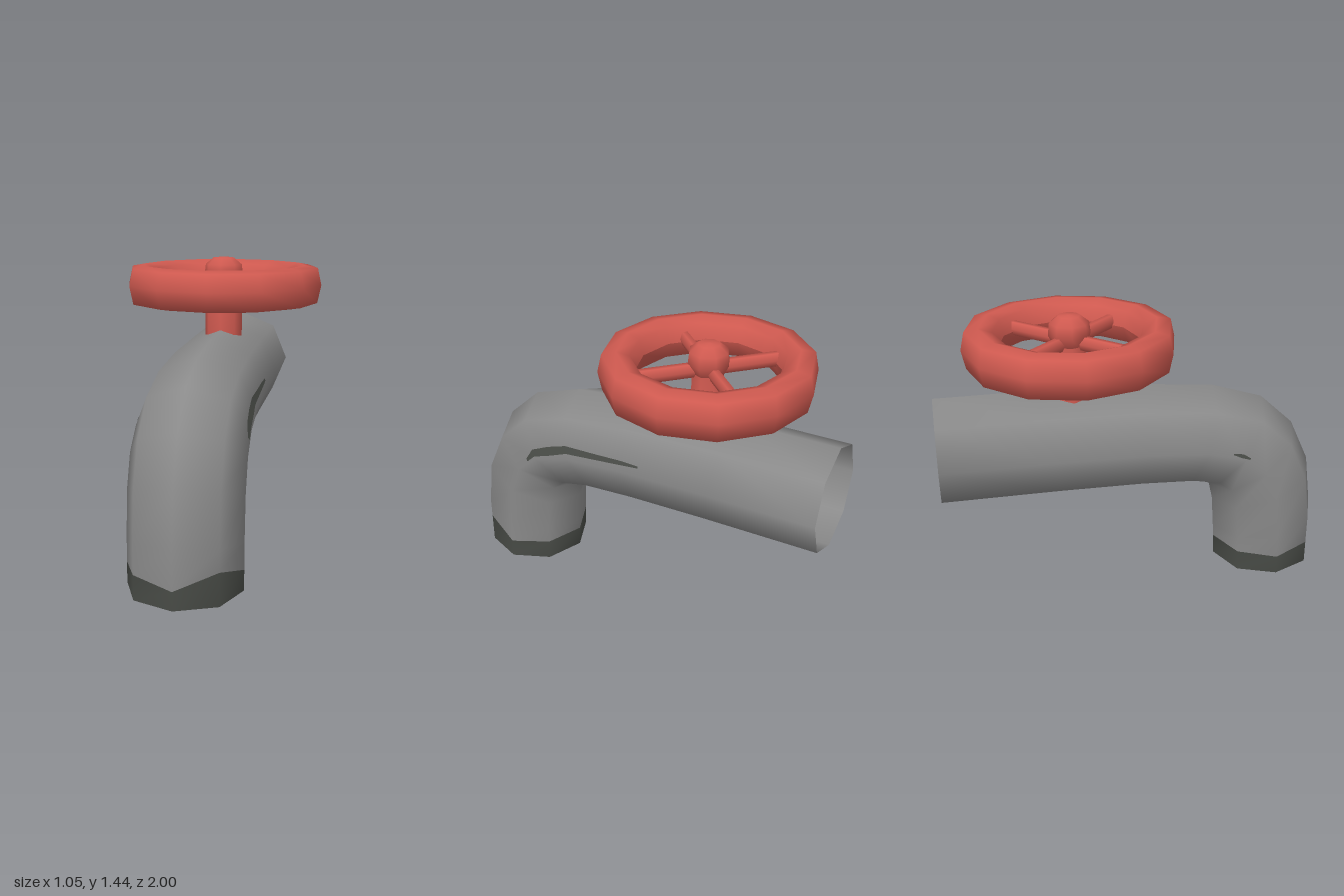
import * as THREE from 'three';

const SIDES = 8, R = 0.275, WHEEL_Z = -0.32;

// Pipe stations, back end to spout mouth: [outer z, outer y, inner z, inner y]
const STATIONS = [
  [-1, 1.06, -1, 0.51], [-0.5, 1.06, -0.4, 0.51], [0.03, 1.05, 0, 0.505],
  [0.41, 1.015, 0.25, 0.495], [0.68, 0.93, 0.37, 0.475], [0.86, 0.765, 0.415, 0.44],
  [0.965, 0.54, 0.435, 0.35], [1, 0.28, 0.447, 0.18], [1, 0, 0.455, 0],
];

// Corner i of the octagonal section at station s
function corner(s, i, scale = 1) {
  const [zo, yo, zi, yi] = STATIONS[s];
  const a = (i / SIDES) * Math.PI * 2, c = Math.cos(a) * scale, k = Math.sin(a) * scale / 2;
  return new THREE.Vector3(R * c, (yo + yi) / 2 + (yo - yi) * k, (zo + zi) / 2 + (zo - zi) * k);
}
const ring = (fn) => Array.from({ length: SIDES }, (_, i) => fn(i));

// Skin a list of rows of points
function loft(rows, closed = true) {
  const n = rows[0].length, index = [];
  for (let j = 0; j < rows.length - 1; j++) {
    for (let i = 0; i < (closed ? n : n - 1); i++) {
      const k = (i + 1) % n, a = j * n + i, b = j * n + k, c = b + n, d = a + n;
      index.push(a, b, c, a, c, d);
    }
  }
  const g = new THREE.BufferGeometry().setFromPoints(rows.flat());
  g.setIndex(index);
  g.computeVertexNormals();
  return g;
}

// Point on the side facet: s runs along the pipe, u from the side ridge upwards
function onSide(s, u, sign) {
  const j = Math.floor(s), f = s - j;
  const p = corner(j, 0, 1.015).lerp(corner(j, 1, 1.015), u);
  p.lerp(corner(j + 1, 0, 1.015).lerp(corner(j + 1, 1, 1.015), u), f);
  p.x *= sign;
  return p;
}

export function createModel() {
  const grey = new THREE.MeshStandardMaterial({ color: 0x8a8a8a, side: THREE.DoubleSide });
  grey.name = 'pipe grey';
  const dark = new THREE.MeshStandardMaterial({ color: 0x484b46, side: THREE.DoubleSide });
  dark.name = 'dark grey';
  const red = new THREE.MeshStandardMaterial({ color: 0xd05a50 });
  red.name = 'valve red';

  const model = new THREE.Group();
  model.name = 'tap';
  const add = (name, geometry, material, parent = model) => {
    const mesh = new THREE.Mesh(geometry, material);
    mesh.name = name;
    parent.add(mesh);
    return mesh;
  };

  // Bent pipe with an uneven stained band at the mouth
  const bandHeight = [0.1, 0.16, 0.09, 0.12, 0.1, 0.11, 0.11, 0.11];
  const bandTop = ring((i) => {
    const up = corner(7, i), low = corner(8, i);
    return low.lerp(up, bandHeight[i] / up.y);
  });
  const rows = STATIONS.slice(0, 8).map((_, s) => ring((i) => corner(s, i)));
  add('pipe', loft([...rows, bandTop]), grey);
  const mouth = ring((i) => corner(8, i));
  const mouthInner = ring((i) => corner(8, i, 0.86));
  add('mouthBand', loft([bandTop, mouth]), dark);
  add('mouthRim', loft([mouth, mouthInner]), dark);
  add('mouthLining', loft([mouthInner, ring((i) => corner(7, i, 0.86))]), grey);

  // Thin stains on the pipe sides: [along, lower, upper]
  const stain = (name, spans, sign) => add(name, loft(spans.map(([s, a, b]) => {
    const row = [onSide(s, a, sign), onSide(s, b, sign)];
    return sign > 0 ? row : row.reverse();
  }), false), dark);
  stain('leftStain', [[1.8, 0.2, 0.25], [2, 0.17, 0.27], [2.5, 0.16, 0.3], [3, 0.15, 0.34],
    [3.5, 0.1, 0.32], [4, 0.07, 0.25], [4.4, 0.06, 0.14]], 1);
  stain('rightStain', [[3.6, 0.08, 0.11], [3.85, 0.04, 0.14], [4.1, 0.06, 0.1]], -1);

  // Handwheel
  const valve = new THREE.Group();
  valve.name = 'valve';
  valve.position.z = WHEEL_Z;
  model.add(valve);
  const lathe = (profile, sides) =>
    new THREE.LatheGeometry(profile.map(([r, y]) => new THREE.Vector2(r, y)), sides);

  add('wheelRim', lathe([[0.35, 1.295], [0.372, 1.215], [0.435, 1.188], [0.505, 1.2], [0.525, 1.295],
    [0.505, 1.385], [0.435, 1.398], [0.372, 1.375], [0.35, 1.295]], 12), red, valve);
  add('stem', lathe([[0.1, 1.01], [0.1, 1.16], [0.085, 1.18], [0.08, 1.32]], SIDES), red, valve);
  add('hub', lathe([[0, 1.25], [0.07, 1.27], [0.105, 1.34], [0.098, 1.4], [0.055, 1.435], [0, 1.44]],
    SIDES), red, valve);

  // Four diagonal spokes
  for (let i = 0; i < 4; i++) {
    const arm = new THREE.Group();
    arm.name = 'spokeArm';
    arm.rotation.y = Math.PI / 4 + (i * Math.PI) / 2;
    valve.add(arm);
    const g = new THREE.CylinderGeometry(0.028, 0.028, 0.34, 6, 1, true);
    g.rotateZ(Math.PI / 2);
    g.scale(1, 1.4, 1);
    add('spoke', g, red, arm).position.set(0.22, 1.31, 0);
  }
  return model;
}
